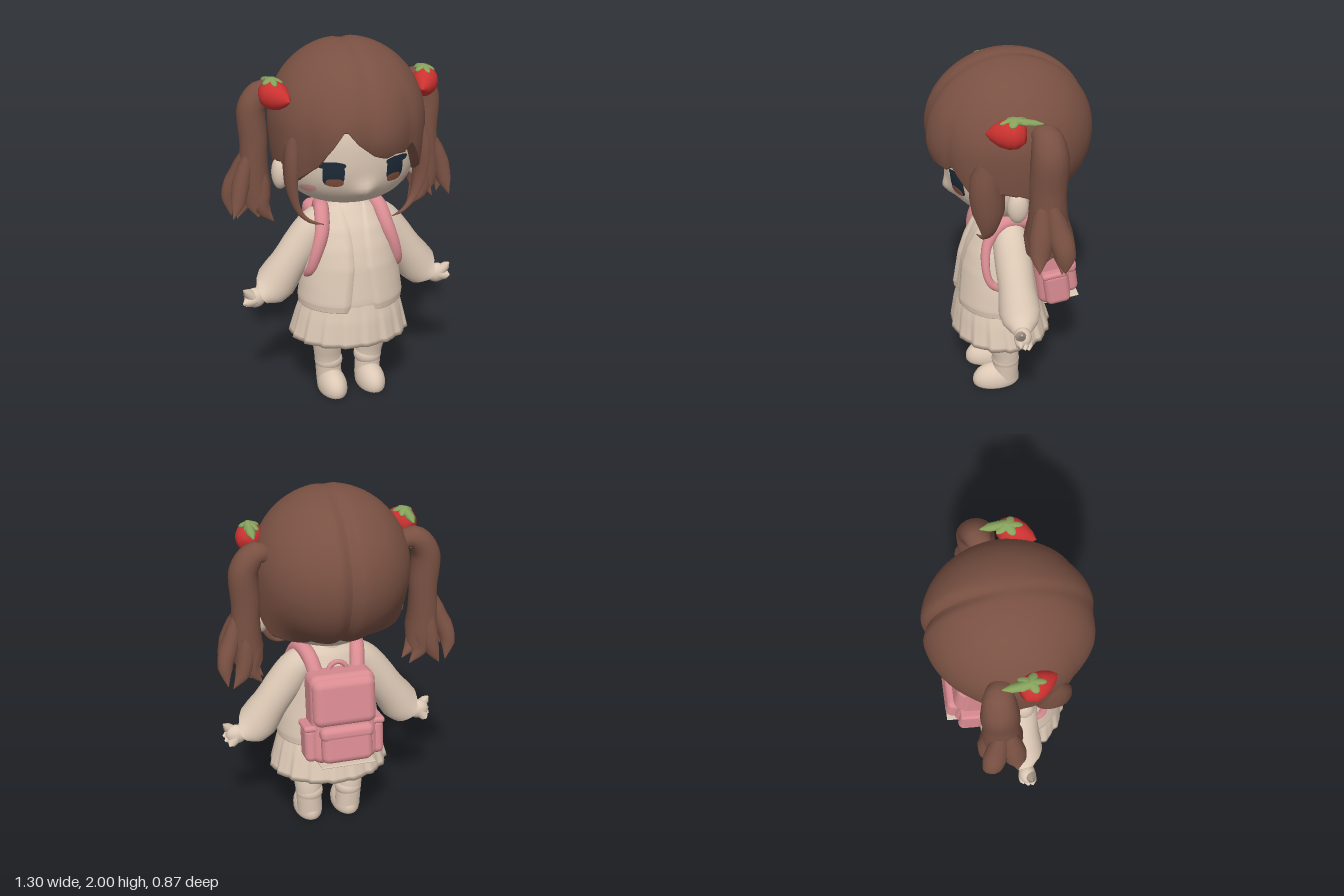
import * as THREE from 'three';
import { RoundedBoxGeometry } from 'three/addons/geometries/RoundedBoxGeometry.js';

const mat = (name, color) => {
  const m = new THREE.MeshStandardMaterial({ color, side: THREE.DoubleSide });
  m.name = name;
  return m;
};

// Linear lookup in a list of numbers or rows, t from 0 to 1
function sample(list, t) {
  const f = Math.min(Math.max(t, 0), 1) * (list.length - 1);
  const i = Math.min(Math.floor(f), list.length - 2), k = f - i;
  const a = list[i], b = list[i + 1];
  return Array.isArray(a) ? a.map((n, j) => n + (b[j] - n) * k) : a + (b - a) * k;
}

// Grid surface: u runs round towards +x at the front, v runs downwards
function surface(fn, nu, nv) {
  const pos = [], idx = [], w = nu + 1;
  for (let i = 0; i <= nv; i++) for (let j = 0; j <= nu; j++) pos.push(...fn(j / nu, i / nv));
  for (let i = 0; i < nv; i++) for (let j = 0; j < nu; j++) {
    const p = i * w + j;
    idx.push(p, p + w, p + 1, p + 1, p + w, p + w + 1);
  }
  const g = new THREE.BufferGeometry();
  g.setAttribute('position', new THREE.Float32BufferAttribute(pos, 3));
  g.setIndex(idx);
  g.computeVertexNormals();
  return g;
}

// Tube with changing radius along a smooth path, optionally flattened
function taper(points, radii, flat = [1, 1, 1], seg = 24, sides = 14) {
  const curve = new THREE.CatmullRomCurve3(points.map(p => new THREE.Vector3(...p)));
  const g = new THREE.TubeGeometry(curve, seg, 1, sides);
  const p = g.attributes.position, v = new THREE.Vector3(), f = new THREE.Vector3(...flat);
  for (let i = 0; i < p.count; i++) {
    const t = Math.floor(i / (sides + 1)) / seg, c = curve.getPointAt(t);
    v.fromBufferAttribute(p, i).sub(c).multiply(f).multiplyScalar(sample(radii, t)).add(c);
    p.setXYZ(i, v.x, v.y, v.z);
  }
  return g;
}

const ball = (rx, ry, rz) => new THREE.SphereGeometry(1, 24, 16).scale(rx, ry, rz);

// Head: rounded-square profile with a small nose
const headK = y => Math.pow(Math.max(0, 1 - Math.pow(Math.abs(y - 1.45) / 0.32, 2.6)), 1 / 2.6);
const nose = (x, y) => 0.042 * Math.exp(-((x / 0.055) ** 2) - ((y - 1.265) / 0.05) ** 2);
const faceZ = (x, y) => {
  const k = headK(y);
  return 0.345 * k * Math.sqrt(Math.max(0, 1 - (x / (0.375 * k)) ** 2)) + nose(x, y);
};
function headPoint(u, v) {
  const a = (u * 2 - 1) * Math.PI, y = 1.45 + 0.32 * Math.cos(v * Math.PI), k = headK(y), c = Math.cos(a);
  const x = 0.375 * k * Math.sin(a);
  return c > 0 ? [x, y, 0.345 * k * c + nose(x, y) * c] : [x * (1 + 0.3 * c), y, 0.22 * k * c];
}

// Painted patch laid on the face
function decal(cx, cy, rx, ry, n, lift) {
  const g = new THREE.RingGeometry(0.01, 1, 36, 5), p = g.attributes.position;
  for (let i = 0; i < p.count; i++) {
    const x = p.getX(i), y = p.getY(i), r = Math.hypot(x, y);
    const k = 1 / Math.pow(Math.abs(x / r) ** n + Math.abs(y / r) ** n, 1 / n);
    const px = cx + x * k * rx, py = cy + y * k * ry;
    p.setXYZ(i, px, py, faceZ(px, py) + lift);
  }
  g.computeVertexNormals();
  return g;
}

// Hair cap: lower edge height by angle from the front, in degrees
const hairEdge = [[-180, 1.17], [-125, 1.18], [-106, 1.25], [-92, 1.37], [-74, 1.4], [-64, 1.3], [-52, 1.36], [-40, 1.42],
  [-28, 1.53], [-19, 1.63], [-10, 1.55], [2, 1.48], [12, 1.46], [20, 1.48], [30, 1.47], [37, 1.51], [44, 1.45],
  [54, 1.36], [64, 1.3], [74, 1.4], [92, 1.37], [106, 1.25], [125, 1.18], [180, 1.17]];
function hairPoint(u, v) {
  const deg = u * 360 - 180, a = deg * Math.PI / 180, ca = Math.cos(a), R = 0.42;
  const n = Math.max(1, hairEdge.findIndex(e => e[0] >= deg));
  const [d0, y0] = hairEdge[n - 1], [d1, y1] = hairEdge[n];
  const edge = y0 + (y1 - y0) * (deg - d0) / (d1 - d0);
  const t = Math.min(v / 0.95, 1), th = t * Math.acos((edge - 1.58) / R), dy = Math.cos(th);
  const round = Math.sin(th), front = Math.max(0, ca);
  const w = THREE.MathUtils.smoothstep(ca, -0.7, -0.1);
  let k = dy < 0 ? round + w * (1 - (0.15 + 0.8 * front ** 6) * dy * dy - round) : round;
  k *= 1 + 0.05 * front * t * t * (Math.abs(Math.sin(a * 4.5 + 0.5)) - 0.6);
  const x = 0.415 * k * Math.sin(a);
  const part = 1 - (0.016 + 0.05 * Math.max(0, -ca) * round) * Math.exp(-((x / 0.035) ** 2));
  const rim = v > 0.99 ? 0.87 : v > 0.96 ? 0.95 : 1;
  return [x * part * rim, 1.58 + R * dy * part, 0.44 * k * ca * part * rim];
}

// Clothing rows: y, half width, front z, back z
const torso = [[1.13, 0.08, 0.1, -0.05], [1.08, 0.15, 0.14, -0.08], [1.0, 0.2, 0.2, -0.11], [0.9, 0.235, 0.245, -0.12],
  [0.8, 0.255, 0.275, -0.135], [0.7, 0.275, 0.29, -0.15], [0.6, 0.288, 0.305, -0.165], [0.56, 0.285, 0.3, -0.165]];
const ring = ([y, rx, zf, zb], a, s) =>
  [rx * s * Math.sin(a), y, (zf + zb) / 2 + (zf - zb) / 2 * s * Math.cos(a)];
function jacketPoint(u, v) {
  const r = sample(torso, v / 0.96), y = r[0];
  const open = 0.03 + 0.04 * Math.max(0, (y - 0.9) / 0.23) ** 2 + 0.035 * Math.max(0, (0.8 - y) / 0.24);
  const gap = Math.asin(Math.min(0.9, open / r[1]));
  const edge = u === 0 || u === 1 || v === 1;
  return ring(r, gap + u * (Math.PI * 2 - 2 * gap), edge ? 0.9 : 1.015);
}
function skirtPoint(u, v) {
  const a = (u * 2 - 1) * Math.PI, t = Math.min(v / 0.8, 1);
  const r = sample([[0.62, 0.26, 0.28, -0.15], [0.5, 0.298, 0.305, -0.19], [0.36, 0.332, 0.322, -0.228]], t);
  if (v > 0.8) r[0] += 0.05 * (v - 0.8) / 0.2;
  const pleat = 1 + 0.024 * t * Math.sin(a * 17 + 0.8 * Math.sin(a * 17));
  return ring(r, a, pleat * (v > 0.8 ? (1 - v) / 0.2 * 0.95 : 1));
}

export function createModel() {
  const root = new THREE.Group();
  const skin = mat('warm beige', 0xdcc8b5), hair = mat('brown hair', 0x7a5143), pink = mat('pink', 0xd98c92);
  const red = mat('berry red', 0xcc3230), green = mat('leaf green', 0x86a15c), navy = mat('dark navy', 0x1d2b38);
  const iris = mat('iris brown', 0x85503f), blush = mat('blush', 0xe0a098);
  const add = (name, geo, material, parent = root) => {
    const m = new THREE.Mesh(geo, material);
    m.name = name;
    parent.add(m);
  };
  const group = name => {
    const g = new THREE.Group();
    g.name = name;
    root.add(g);
    return g;
  };

  // Head, body and clothes
  add('head', surface(headPoint, 72, 36), skin);
  add('neck', new THREE.CylinderGeometry(0.075, 0.09, 0.2, 24).translate(0, 1.1, 0.02), skin);
  add('hairCap', surface(hairPoint, 144, 50), hair);
  add('dress', surface((u, v) => ring(sample(torso, v), (u * 2 - 1) * Math.PI, 0.93), 48, 21), skin);
  add('jacket', surface(jacketPoint, 64, 40), skin);
  add('skirt', surface(skirtPoint, 200, 15), skin);

  for (const s of [1, -1]) {
    const side = s > 0 ? 'left' : 'right';
    const M = pts => pts.map(([x, y, z]) => [x * s, y, z]);

    // Face
    add(side + 'Ear', ball(0.045, 0.09, 0.055).translate(0.375 * s, 1.31, 0.03), skin);
    add(side + 'Eye', decal(0.166 * s, 1.368, 0.052, 0.068, 3.2, 0.004), navy);
    add(side + 'Lash', decal(0.178 * s, 1.416, 0.07, 0.02, 2.4, 0.005), navy);
    add(side + 'Iris', decal(0.16 * s, 1.321, 0.043, 0.023, 2.6, 0.007), iris);
    add(side + 'Cheek', decal(0.268 * s, 1.268, 0.034, 0.024, 2, 0.004), blush);

    // Front lock beside the face
    add(side + 'Lock', taper(M([[0.34, 1.6, 0.17], [0.36, 1.42, 0.185], [0.35, 1.25, 0.175], [0.31, 1.13, 0.175], [0.26, 1.08, 0.19], [0.19, 1.06, 0.21]]),
      [0.03, 0.07, 0.072, 0.065, 0.04, 0.015, 0.002], [0.45, 1, 1.3]), hair);

    // Pigtail with loose strands
    const tail = group(side + 'Pigtail');
    add('tail', taper(M([[0.36, 1.7, -0.08], [0.42, 1.725, -0.1], [0.482, 1.65, -0.105], [0.482, 1.45, -0.1], [0.485, 1.25, -0.1], [0.465, 1.02, -0.1]]),
      [0.04, 0.065, 0.076, 0.076, 0.072, 0.078, 0.088, 0.075, 0.005], [1, 1, 1.3], 36, 18), hair, tail);
    const strands = [
      [[0.52, 1.42, -0.1], [0.565, 1.28, -0.13], [0.61, 1.15, -0.16], [0.6, 1.02, -0.17]],
      [[0.51, 1.42, -0.07], [0.565, 1.25, -0.05], [0.595, 1.12, -0.035], [0.62, 1.05, -0.03]],
      [[0.5, 1.4, -0.12], [0.5, 1.22, -0.16], [0.52, 1.1, -0.17], [0.57, 1.0, -0.16]],
      [[0.47, 1.38, -0.07], [0.455, 1.22, -0.05], [0.455, 1.1, -0.05], [0.39, 1.0, -0.06]],
      [[0.48, 1.4, -0.12], [0.46, 1.2, -0.14], [0.465, 1.1, -0.14], [0.41, 1.0, -0.13]]];
    strands.forEach((p, i) => add('strand' + (i + 1), taper(M(p), [0.02, 0.045, 0.055, 0.045, 0.002], [0.85, 1, 1.2]), hair, tail));

    // Strawberry hair clip, tip pointing forwards
    const berry = group(side + 'Strawberry');
    berry.position.set(0.41 * s, 1.748, 0.085);
    const prof = [[0, -0.088], [0.045, -0.082], [0.073, -0.045], [0.078, -0.005], [0.064, 0.045], [0.035, 0.09], [0, 0.12]];
    const fruit = new THREE.LatheGeometry(prof.map(p => new THREE.Vector2(...p)), 24);
    add('fruit', fruit.scale(0.9, 1, 1).rotateX(Math.PI / 2 + 0.1).rotateY(-0.45 * s), red, berry);
    for (let i = 0; i < 5; i++) {
      const leaf = ball(0.022, 0.012, 0.042).translate(0, 0, 0.03).rotateX(0.3).rotateY(i * Math.PI * 0.4);
      add('leaf' + (i + 1), leaf.scale(0.8, 1, 1.1).translate(0.005 * s, 0.08, -0.03), green, berry);
    }
    add('stem', taper(M([[0.01, 0.075, -0.03], [0.015, 0.06, -0.1], [0.015, 0.045, -0.17]]), [0.028, 0.026, 0.024, 0.004], [1, 0.55, 1]), green, berry);

    // Arm with puffed sleeve and hand
    add(side + 'Sleeve', taper(M([[0.1, 1.04, 0.02], [0.18, 0.99, 0.025], [0.27, 0.88, 0.025], [0.355, 0.76, 0.025], [0.435, 0.65, 0.025], [0.495, 0.6, 0.03]]),
      [0.05, 0.09, 0.098, 0.1, 0.1, 0.098, 0.1, 0.108, 0.112, 0.095, 0.045], [1, 1, 1], 40, 24), skin);
    const hand = group(side + 'Hand');
    add('palm', ball(0.06, 0.055, 0.046).translate(0.53 * s, 0.607, 0.035), skin, hand);
    const tips = [[0.602, 0.59, 0.06], [0.596, 0.57, 0.035], [0.575, 0.548, 0.01], [0.598, 0.668, 0.055]];
    tips.forEach((t, i) => add(i < 3 ? 'finger' + (i + 1) : 'thumb',
      taper(M([[0.53, 0.605, 0.035 + (t[2] - 0.035) * 0.7], t]), [0.03, 0.03, 0.028, 0.024, 0.004], [1, 1, 1], 12, 12), skin, hand));

    // Leg, sock and shoe
    add(side + 'Leg', taper(M([[0.13, 0.48, 0.07], [0.13, 0.32, 0.065], [0.122, 0.2, 0.042], [0.113, 0.04, 0.04]]),
      [0.09, 0.09, 0.088, 0.083, 0.077, 0.073, 0.072, 0.072], [1, 1, 1.02], 24, 24), skin);
    add(side + 'Sock', new THREE.TorusGeometry(0.058, 0.021, 12, 28).rotateX(Math.PI / 2).scale(1, 1.7, 1).translate(0.116 * s, 0.165, 0.04), skin);
    const shoe = ball(0.08, 0.1, 0.135), sp = shoe.attributes.position;
    for (let i = 0; i < sp.count; i++) sp.setY(i, Math.max(0, sp.getY(i) + 0.03));
    shoe.computeVertexNormals();
    add(side + 'Shoe', shoe.translate(0.113 * s, 0, 0.095), skin);

    // Backpack strap, tucked in under the arm
    add(side + 'Strap', taper(M([[0.11, 0.98, -0.14], [0.135, 1.08, -0.05], [0.16, 1.085, 0.07], [0.183, 0.99, 0.15], [0.222, 0.87, 0.17],
      [0.245, 0.78, 0.15], [0.25, 0.74, 0.1]]), [0.042, 0.042, 0.042, 0.042, 0.038, 0.032, 0.026], [1, 1, 0.65], 40), pink);
  }

  // Backpack
  const pack = group('backpack');
  pack.position.set(0, 0.79, -0.205);
  pack.rotation.x = 0.14;
  const box = (name, w, h, d, r, x, y, z, m = pink) => add(name, new RoundedBoxGeometry(w, h, d, 4, r).translate(x, y, z), m, pack);
  box('bag', 0.36, 0.5, 0.19, 0.05, 0, 0, 0);
  box('flap', 0.345, 0.27, 0.1, 0.048, 0, 0.1, -0.07);
  box('pocket', 0.28, 0.2, 0.1, 0.04, 0, -0.135, -0.095);
  box('pocketFlap', 0.295, 0.08, 0.11, 0.035, 0, -0.065, -0.094);
  for (const s of [1, -1]) {
    box('sidePocket', 0.07, 0.2, 0.14, 0.034, 0.185 * s, -0.135, -0.01);
    box('sidePocketRim', 0.078, 0.035, 0.15, 0.016, 0.186 * s, -0.04, -0.01);
  }
  box('bagBase', 0.3, 0.009, 0.2, 0.004, 0, -0.25, -0.035, skin);
  add('handle', new THREE.TorusGeometry(0.05, 0.014, 10, 24, Math.PI).translate(0, 0.235, 0.03), pink, pack);
  return root;
}
